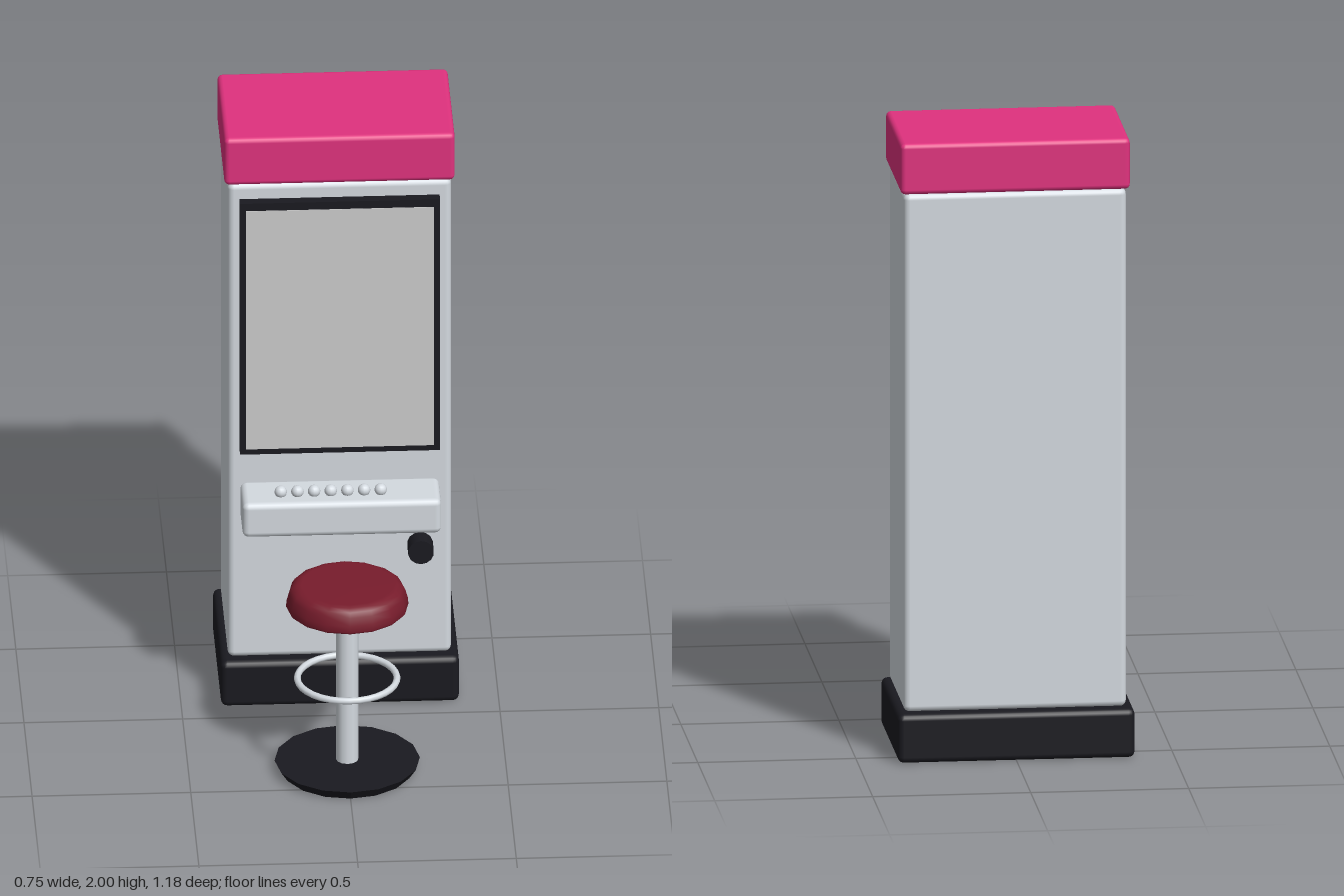
import * as THREE from 'three';
import { RoundedBoxGeometry } from 'three/addons/geometries/RoundedBoxGeometry.js';

const material = (color, flatShading = false) => new THREE.MeshStandardMaterial({ color, flatShading });

export function createModel() {
  const model = new THREE.Group();
  model.name = 'slotMachineWithStool';

  const metal = material(0xd4dae0);
  const black = material(0x1a1a20);
  const blackFaceted = material(0x1a1a20, true);
  const pink = material(0xe0327e);
  const red = material(0x781c2c);
  const grey = material(0xcccccc);

  const add = (parent, name, geometry, mat, x = 0, y = 0, z = 0) => {
    const mesh = new THREE.Mesh(geometry, mat);
    mesh.name = name;
    mesh.position.set(x, y, z);
    parent.add(mesh);
    return mesh;
  };

  // Box given by its half width, height range and depth range
  const box = (name, mat, halfW, y0, y1, z0, z1, radius = 0) => {
    const size = [halfW * 2, y1 - y0, z1 - z0];
    const geometry = radius ? new RoundedBoxGeometry(...size, 2, radius) : new THREE.BoxGeometry(...size);
    return add(model, name, geometry, mat, 0, (y0 + y1) / 2, (z0 + z1) / 2);
  };

  // Cabinet
  box('plinth', black, 0.375, 0, 0.158, -0.59, -0.07, 0.02);
  box('cabinet', metal, 0.352, 0.155, 1.835, -0.545, -0.11, 0.02);
  box('topSign', pink, 0.363, 1.835, 2, -0.555, -0.1, 0.016);

  // Screen and its border
  box('screenFrame', black, 0.315, 0.893, 1.783, -0.13, -0.077);
  box('screen', grey, 0.296, 0.912, 1.757, -0.1, -0.075);

  // Control shelf with a row of buttons
  box('controlShelf', metal, 0.313, 0.657, 0.777, -0.125, 0.045, 0.02);
  const buttonGeometry = new THREE.SphereGeometry(0.02, 12, 8);
  for (let i = 0; i < 7; i++) {
    add(model, 'button' + (i + 1), buttonGeometry, metal, -0.19 + i * 0.0525, 0.789, -0.018);
  }

  // Round knob below the shelf
  const knob = add(model, 'knob', new THREE.CylinderGeometry(0.041, 0.041, 0.062, 14), black, 0.25, 0.581, -0.011);
  knob.rotation.x = Math.PI / 2;

  // Stool
  const stool = new THREE.Group();
  stool.name = 'stool';
  stool.position.z = 0.36;
  model.add(stool);

  add(stool, 'stoolFoot', new THREE.CylinderGeometry(0.229, 0.207, 0.033, 16), blackFaceted, 0, 0.0165, 0);
  add(stool, 'stoolPole', new THREE.CylinderGeometry(0.035, 0.035, 0.56, 12), metal, 0, 0.31, 0);
  const ring = add(stool, 'footRing', new THREE.TorusGeometry(0.157, 0.011, 8, 32), metal, 0, 0.32, 0);
  ring.rotation.x = Math.PI / 2;

  // Padded seat: flat underside, rounded shoulder
  const seatProfile = [
    [0, 0.573], [0.188, 0.573], [0.188, 0.573], [0.193, 0.58], [0.191, 0.601],
    [0.184, 0.627], [0.175, 0.642], [0.16, 0.651], [0.145, 0.654], [0, 0.655],
  ].map(([r, y]) => new THREE.Vector2(r, y));
  add(stool, 'seat', new THREE.LatheGeometry(seatProfile, 16), red);

  return model;
}
